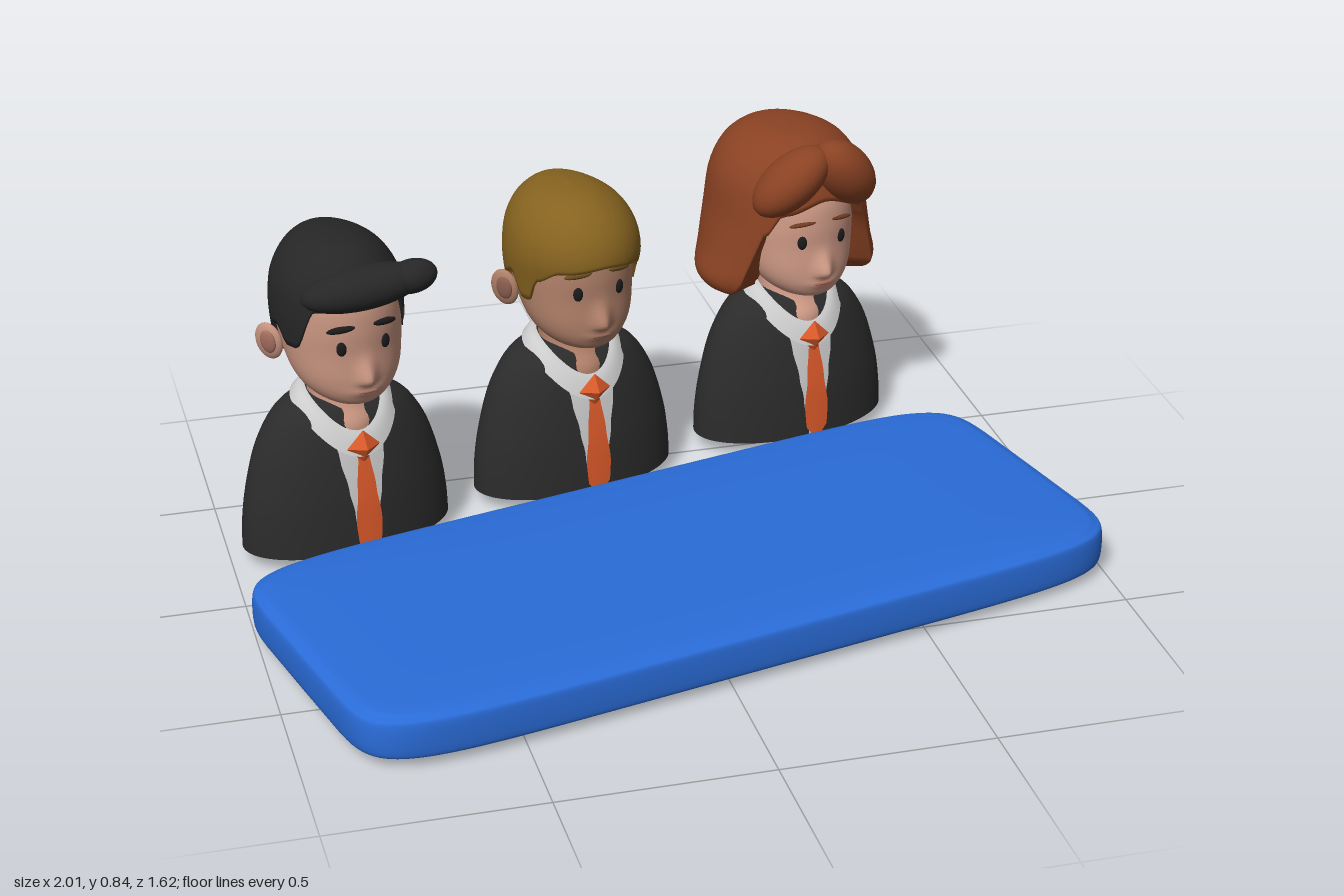
import * as THREE from 'three';

const { sin, cos, abs, sign, sqrt, exp, PI } = Math;
const SUIT = 0x2b2b2b, ORANGE = 0xdc5a2a, GREY = 0xcccccc, DARK = 0x1c1a1a;

const mat = (color) => new THREE.MeshStandardMaterial({ color, side: THREE.DoubleSide });

function add(parent, name, geometry, color) {
  const mesh = new THREE.Mesh(geometry, mat(color));
  mesh.name = name;
  parent.add(mesh);
  return mesh;
}

// Smooth sheet of points at(s, t): s runs downward, t runs left to right (or round a closed loop)
function grid(rows, cols, at, closed = false) {
  const pos = [], index = [], n = closed ? cols : cols + 1;
  for (let i = 0; i <= rows; i++)
    for (let j = 0; j < n; j++) pos.push(...at(i / rows, j / cols, i));
  for (let i = 0; i < rows; i++)
    for (let j = 0; j < cols; j++) {
      const a = i * n + j, b = i * n + (j + 1) % n, c = a + n, d = b + n;
      index.push(a, c, b, b, c, d);
    }
  const g = new THREE.BufferGeometry();
  g.setAttribute('position', new THREE.Float32BufferAttribute(pos, 3));
  g.setIndex(index);
  g.computeVertexNormals();
  return g;
}

// Piecewise linear lookup in [[key, value], ...]
function lookup(table, k) {
  for (let i = 1; i < table.length; i++) {
    const [k0, v0] = table[i - 1], [k1, v1] = table[i];
    if ((k - k0) * (k - k1) <= 0) return v0 + (v1 - v0) * THREE.MathUtils.smoothstep((k - k0) / (k1 - k0), 0, 1);
  }
  return table[table.length - 1][1];
}

// Rounded solid from cross-sections [y, halfWidth, frontZ, backZ], listed from top to bottom
function profile(sections, power = 2) {
  const curve = (f) => new THREE.CatmullRomCurve3(sections.map(f), false, 'catmullrom');
  const yw = curve(([y, w]) => new THREE.Vector3(y, w, 0));
  const fb = curve(([, , f, b]) => new THREE.Vector3(f, b, 0));
  const section = (u) => {
    const p = yw.getPoint(u), q = fb.getPoint(u);
    return { y: p.x, w: Math.max(p.y, 0), c: (q.x + q.y) / 2, d: (q.x - q.y) / 2 };
  };
  const uAt = (y) => {
    let lo = 0, hi = 1;
    for (let i = 0; i < 24; i++) {
      const m = (lo + hi) / 2;
      if (yw.getPoint(m).x > y) lo = m; else hi = m;
    }
    return lo;
  };
  const bend = (v) => sign(v) * abs(v) ** (2 / power);
  return {
    frontZ(x, y) {
      const s = section(uAt(y));
      return s.c + s.d * sqrt(Math.max(0, 1 - (x / s.w) ** 2));
    },
    // edge(angle) gives the height of the lower rim; tuck pulls a last row inward
    geometry(rows, cols, edge, tuck) {
      const ends = Array.from({ length: cols }, (_, j) => {
        const a = j / cols * 2 * PI;
        return edge ? uAt(lookup(edge, a > PI ? 2 * PI - a : a)) : 1;
      });
      return grid(rows, cols, (s, t, i) => {
        const last = tuck && i === rows, a = t * 2 * PI, k = last ? tuck : 1;
        const span = tuck ? Math.min(1, i / (rows - 1)) : s;
        const q = section(ends[Math.round(t * cols)] * span);
        return [k * q.w * bend(sin(a)), q.y + (last ? 0.008 : 0), k * (q.c + q.d * bend(cos(a)))];
      }, true);
    },
  };
}

function ball(parent, name, color, [x, y, z], [rx, ry, rz], [ax, ay, az] = [0, 0, 0]) {
  const m = add(parent, name, new THREE.SphereGeometry(1, 28, 20), color);
  m.position.set(x, y, z);
  m.scale.set(rx, ry, rz);
  m.rotation.set(ax, ay, az);
  return m;
}

const BODY = profile([
  [0.415, 0.06, 0.04, -0.075], [0.405, 0.1, 0.06, -0.09], [0.385, 0.145, 0.08, -0.105],
  [0.35, 0.182, 0.1, -0.118], [0.28, 0.22, 0.118, -0.13], [0.18, 0.248, 0.134, -0.138],
  [0.1, 0.26, 0.14, -0.142], [0.035, 0.263, 0.143, -0.143]]);

const HEAD = profile([
  [0.795, 0, 0, 0], [0.78, 0.06, 0.07, -0.08], [0.74, 0.11, 0.13, -0.13], [0.68, 0.14, 0.16, -0.155],
  [0.62, 0.146, 0.168, -0.155], [0.56, 0.142, 0.166, -0.13], [0.5, 0.129, 0.168, -0.09],
  [0.46, 0.106, 0.164, -0.055], [0.432, 0.072, 0.15, -0.02], [0.42, 0.035, 0.12, 0.02], [0.418, 0, 0.07, 0.07]]);

const NECK = profile([[0.47, 0.075, 0.06, -0.08], [0.4, 0.078, 0.075, -0.08], [0.36, 0.08, 0.102, -0.08], [0.33, 0.08, 0.108, -0.08]]);

// Cloth panel lying on the chest; rows are [y, halfWidth]
function panel(parent, name, color, rows, lift) {
  const top = rows[0][0], bottom = rows[rows.length - 1][0];
  const g = grid(20, 8, (s, t) => {
    const y = top + (bottom - top) * s, x = (t * 2 - 1) * lookup(rows, y);
    return [x, y, BODY.frontZ(x, y) + lift];
  });
  return add(parent, name, g, color);
}

function bust(parent) {
  add(parent, 'jacket', BODY.geometry(28, 64), SUIT);
  const base = add(parent, 'bustBase', new THREE.CircleGeometry(1, 64), GREY);
  base.rotation.x = PI / 2;
  base.scale.set(0.263, 0.143, 1);
  base.position.y = 0.035;
  panel(parent, 'shirt', GREY, [[0.34, 0.066], [0.28, 0.056], [0.2, 0.042], [0.14, 0.032], [0.04, 0.018]], 0.004);
  panel(parent, 'tie', ORANGE, [[0.29, 0.014], [0.2, 0.024], [0.12, 0.033], [0.07, 0.03], [0.04, 0.012]], 0.011);
  const knot = add(parent, 'tieKnot', new THREE.OctahedronGeometry(1), ORANGE);
  knot.position.set(0, 0.308, 0.13);
  knot.scale.set(0.042, 0.042, 0.026);
  // Folded collar, high at the nape and dipping to a V in front
  add(parent, 'collar', grid(6, 64, (s, t) => {
    const a = t * 2 * PI, f = ((1 + cos(a)) / 2) ** 3, fold = sin(s * PI) * 0.008;
    const rx = 0.086 + 0.038 * s, rz = 0.1 + 0.028 * s;
    return [rx * sin(a), 0.428 - 0.085 * f - s * (0.022 + 0.035 * f) + fold, 0.012 + rz * cos(a)];
  }, true), GREY);
}

function face(parent, skin, lips, browColor, browSize) {
  add(parent, 'neck', NECK.geometry(10, 40), skin);
  const g = HEAD.geometry(56, 96), p = g.attributes.position;
  // Raise the nose and lips out of the face
  for (let i = 0; i < p.count; i++) {
    const x = p.getX(i), y = p.getY(i), z = p.getZ(i);
    if (z < 0.08) continue;
    const nose = 0.03 * exp(-((x / 0.021) ** 2)) * exp(-(((y - 0.5) / (y > 0.5 ? 0.04 : 0.013)) ** 2));
    const mouth = 0.007 * exp(-((x / 0.035) ** 2) - ((y - 0.468) / 0.012) ** 2);
    p.setZ(i, z + nose + mouth);
  }
  g.computeVertexNormals();
  add(parent, 'head', g, skin);
  ball(parent, 'mouth', lips, [0, 0.469, HEAD.frontZ(0, 0.469) + 0.003], [0.026, 0.0045, 0.006]);
  for (const s of [-1, 1]) {
    const x = s * 0.055;
    ball(parent, 'eye', DARK, [x, 0.583, HEAD.frontZ(x, 0.583)], [0.012, 0.018, 0.007], [0, s * 0.3, 0]);
    ball(parent, 'eyebrow', browColor, [x, 0.632, HEAD.frontZ(x, 0.632)], [0.034, browSize, 0.008], [0, s * 0.3, -s * 0.12]);
    ball(parent, 'ear', skin, [s * 0.163, 0.555, -0.025], [0.015, 0.048, 0.038], [0, -s * 0.55, -s * 0.12]);
    ball(parent, 'earHollow', lips, [s * 0.17, 0.558, -0.014], [0.008, 0.03, 0.022], [0, -s * 0.55, -s * 0.12]);
  }
}

// Short dark hair with a quiff swept to the left
function sweptHair(parent, color) {
  const cap = profile([
    [0.815, 0, -0.01, -0.01], [0.805, 0.06, 0.08, -0.1], [0.775, 0.11, 0.13, -0.145], [0.72, 0.145, 0.165, -0.17],
    [0.66, 0.155, 0.175, -0.177], [0.6, 0.154, 0.17, -0.172], [0.53, 0.145, 0.16, -0.15], [0.45, 0.12, 0.14, -0.1]]);
  add(parent, 'hair', cap.geometry(28, 96, [[0, 0.69], [0.75, 0.675], [1.1, 0.57], [1.3, 0.57], [1.5, 0.61], [1.8, 0.6], [2.2, 0.5], [PI, 0.465]], 0.84), color);
  ball(parent, 'quiff', color, [0.005, 0.725, 0.15], [0.145, 0.052, 0.058], [0, -0.3, 0.16]);
  ball(parent, 'quiffTip', color, [0.115, 0.745, 0.185], [0.06, 0.04, 0.042], [0, -0.3, 0.2]);
}

// Short fair hair with a fringe overhanging the forehead
function fringeHair(parent, color) {
  const cap = profile([
    [0.812, 0, 0, 0], [0.802, 0.06, 0.09, -0.1], [0.77, 0.115, 0.15, -0.15], [0.72, 0.148, 0.192, -0.177],
    [0.66, 0.16, 0.206, -0.185], [0.6, 0.157, 0.185, -0.18], [0.53, 0.147, 0.165, -0.155], [0.45, 0.12, 0.14, -0.1]]);
  add(parent, 'hair', cap.geometry(28, 96, [[0, 0.66], [0.7, 0.645], [1.05, 0.61], [1.2, 0.55], [1.35, 0.55], [1.55, 0.61], [1.85, 0.59], [2.2, 0.5], [PI, 0.455]], 0.8), color);
}

// Full bob with two fringe locks meeting at a parting
function bobHair(parent, color) {
  const cap = profile([
    [0.832, 0, -0.03, -0.03], [0.825, 0.075, 0.06, -0.13], [0.79, 0.145, 0.12, -0.19], [0.72, 0.188, 0.165, -0.225],
    [0.62, 0.203, 0.18, -0.24], [0.53, 0.222, 0.172, -0.23], [0.47, 0.238, 0.158, -0.21], [0.435, 0.222, 0.145, -0.185], [0.42, 0.19, 0.13, -0.16]]);
  add(parent, 'hair', cap.geometry(32, 96, [[0, 0.69], [0.55, 0.66], [0.78, 0.6], [0.95, 0.45], [1.2, 0.425], [PI, 0.425]], 0.6), color);
  ball(parent, 'fringeLock', color, [-0.078, 0.745, 0.135], [0.115, 0.062, 0.075], [0, -0.35, 0.72]);
  ball(parent, 'fringeLock', color, [0.062, 0.75, 0.15], [0.11, 0.066, 0.075], [0, 0.35, -0.85]);
}

export function createModel() {
  const model = new THREE.Group();
  model.name = 'panelOfThree';
  const yaw = 0.227;

  // Table slab with soft edges
  const slab = profile([
    [0.142, 0, 0, 0], [0.139, 0.6, 0.25, -0.25], [0.131, 0.9, 0.37, -0.37], [0.121, 0.955, 0.4, -0.4], [0.105, 0.97, 0.41, -0.41],
    [0.04, 0.97, 0.41, -0.41], [0.022, 0.955, 0.4, -0.4], [0.012, 0.9, 0.37, -0.37], [0.004, 0.6, 0.25, -0.25], [0, 0, 0, 0]], 8);
  const table = add(model, 'table', slab.geometry(45, 96), 0x2a6cd8);
  table.position.z = 0.23;
  table.rotation.y = yaw;

  const people = [
    { name: 'leftmostPerson', at: [-0.712, -0.27], skin: 0xc6937f, lips: 0xa66f60, brow: DARK, size: 0.0085, hair: sweptHair, color: 0x262626 },
    { name: 'middlePerson', at: [-0.112, -0.425], skin: 0xb08069, lips: 0x8f6252, brow: 0x6b4d1f, size: 0.008, hair: fringeHair, color: 0x85621f },
    { name: 'rightmostPerson', at: [0.495, -0.58], skin: 0xcf9a86, lips: 0xa9594d, brow: 0x6e3a22, size: 0.0055, hair: bobHair, color: 0x8a4223 },
  ];
  for (const p of people) {
    const person = new THREE.Group();
    person.name = p.name;
    bust(person);
    face(person, p.skin, p.lips, p.brow, p.size);
    p.hair(person, p.color);
    person.position.set(p.at[0], 0, p.at[1]);
    person.rotation.y = yaw;
    model.add(person);
  }
  return model;
}
